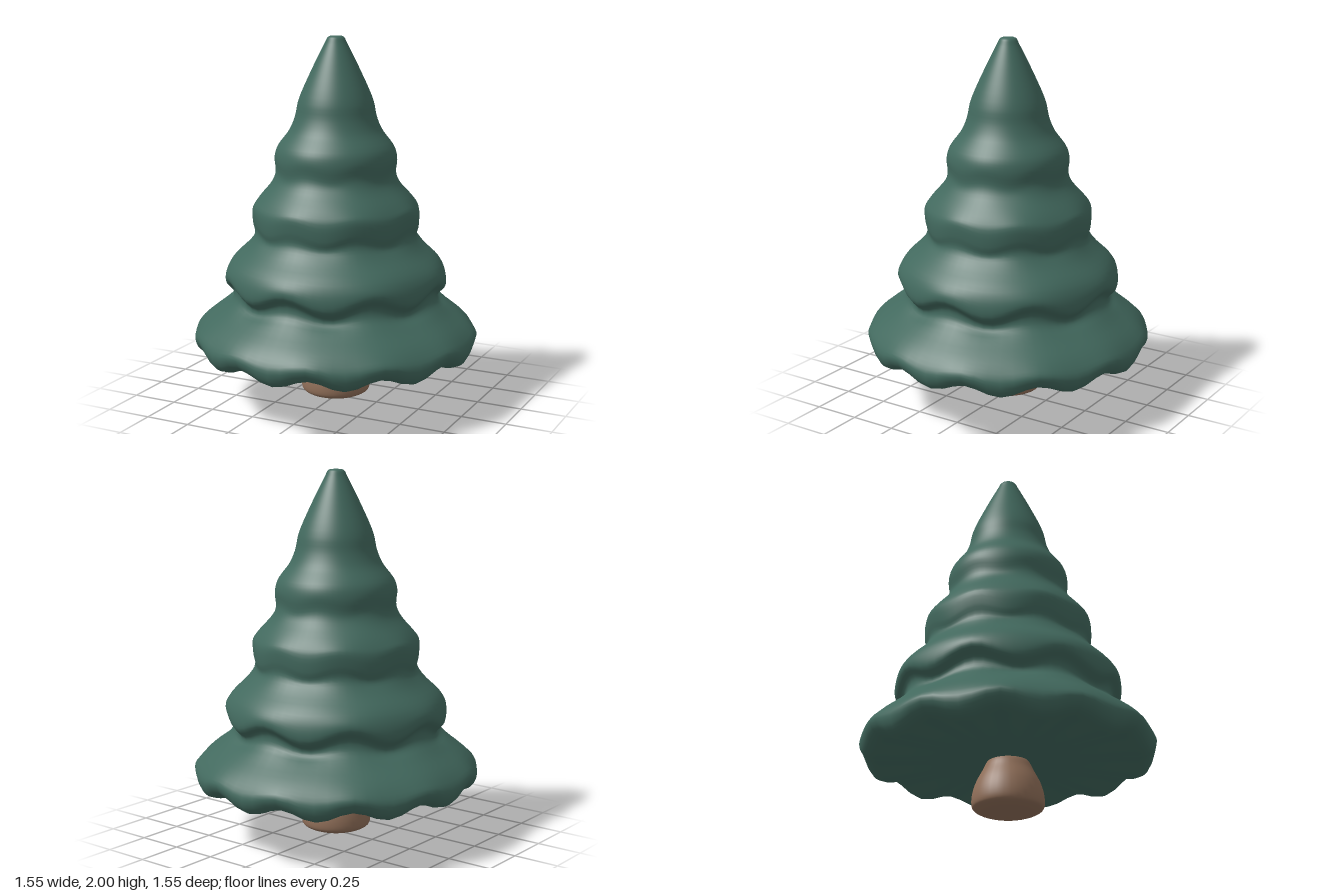
import * as THREE from 'three';
import { mergeVertices } from 'three/addons/utils/BufferGeometryUtils.js';

// Smooth lathe from a few profile points (bottom to top), optionally displaced by a rule
function turned(profile, steps, sides, displace) {
  const curve = new THREE.CatmullRomCurve3(
    profile.map(([r, y]) => new THREE.Vector3(r, y, 0)), false, 'centripetal');
  const points = curve.getPoints(steps).map((p) => new THREE.Vector2(Math.max(0, p.x), p.y));
  let geo = new THREE.LatheGeometry(points, sides);
  geo.deleteAttribute('uv');
  geo.deleteAttribute('normal');
  const pos = geo.attributes.position;
  const v = new THREE.Vector3();
  if (displace) {
    for (let i = 0; i < pos.count; i++) {
      displace(v.fromBufferAttribute(pos, i));
      pos.setXYZ(i, v.x, v.y, v.z);
    }
  }
  geo = mergeVertices(geo, 1e-4);
  geo.computeVertexNormals();
  return geo;
}

// Scalloped rims: height of the rim, spread, number of waves, depth, phase
const rims = [
  { y: 0.31, spread: 0.11, waves: 12, depth: 0.025, phase: Math.PI },
  { y: 0.66, spread: 0.09, waves: 8, depth: 0.03, phase: 0 },
  { y: 1.01, spread: 0.09, waves: 8, depth: 0.02, phase: 0.6 },
  { y: 1.3, spread: 0.08, waves: 7, depth: 0.01, phase: 0.3 },
];

function scallop(v) {
  const r = Math.hypot(v.x, v.z);
  const a = Math.atan2(v.x, v.z);
  const inner = THREE.MathUtils.smoothstep(r, 0.15, 0.7);
  let dy = 0;
  for (const [i, rim] of rims.entries()) {
    const near = Math.exp(-(((v.y - rim.y) / rim.spread) ** 2));
    const fade = i === 0 ? inner : 1;
    dy += rim.depth * near * fade * Math.cos(rim.waves * a + rim.phase);
  }
  v.y += dy;
}

export function createModel() {
  const tree = new THREE.Group();
  tree.name = 'tree';

  // Foliage: one skin with four drooping tiers
  const foliage = new THREE.Mesh(
    turned([
      [0, 0.3], [0.3, 0.3], [0.6, 0.295], [0.7, 0.295], [0.755, 0.325], [0.775, 0.385],
      [0.73, 0.45], [0.62, 0.54], [0.565, 0.59], [0.56, 0.63], [0.6, 0.68], [0.6, 0.73],
      [0.57, 0.79], [0.48, 0.88], [0.44, 0.94], [0.45, 1.0], [0.45, 1.08], [0.42, 1.13],
      [0.345, 1.22], [0.325, 1.27], [0.33, 1.35], [0.315, 1.41], [0.25, 1.5], [0.22, 1.57],
      [0.2, 1.66], [0.13, 1.82], [0.06, 1.96], [0.04, 1.995], [0, 2.0],
    ], 110, 72, scallop),
    new THREE.MeshStandardMaterial({ color: 0x42695e }));
  foliage.name = 'foliage';
  tree.add(foliage);

  // Trunk: squat and flared, with a shallow rounded bottom
  const trunk = new THREE.Mesh(
    turned([
      [0, 0], [0.09, 0.015], [0.175, 0.045], [0.187, 0.06], [0.188, 0.11],
      [0.17, 0.18], [0.135, 0.25], [0.1, 0.31], [0, 0.35],
    ], 36, 32),
    new THREE.MeshStandardMaterial({ color: 0x8f6e58 }));
  trunk.name = 'trunk';
  tree.add(trunk);

  return tree;
}
